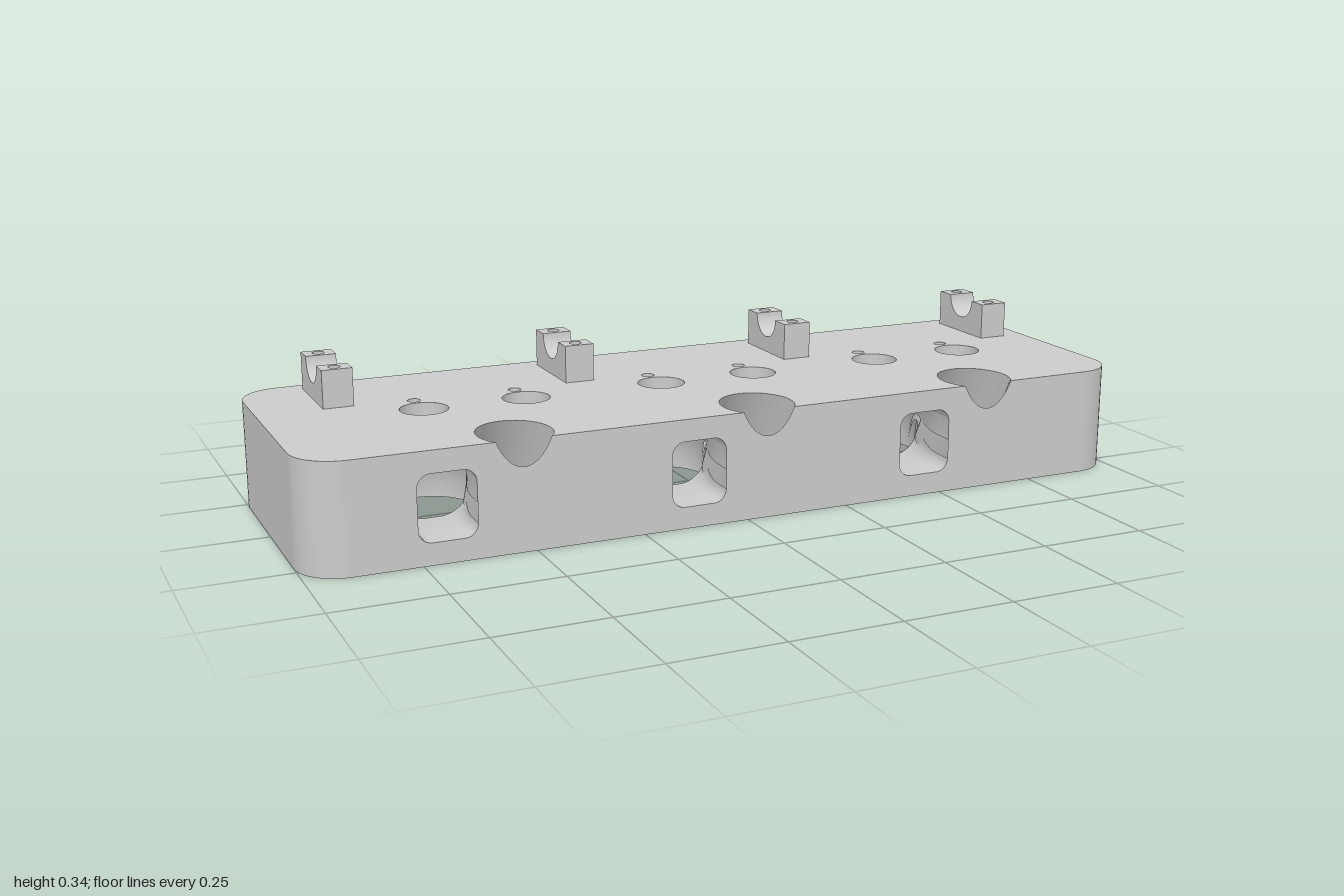
import * as THREE from 'three';
import { ParametricGeometry } from 'three/addons/geometries/ParametricGeometry.js';

const H = 0.25, D = 0.325, R = 0.1;            // body height, half depth, corner radius
const ROOF = 0.012;                            // chamber recess depth
const POCKET_Y = 0.21;                         // spring pocket floor
const chambers = [-0.525, 0.05, 0.625];
const pillars = [-0.815, -0.24, 0.335, 0.91];
const boltZ = [-0.114, -0.264];
const VALVE = 0.12, VALVE_R = 0.105, INTAKE = -0.17;
const PLUG = { r: 0.083, z: 0.263, s: Math.sin(0.489), c: Math.cos(0.489), depth: 0.215 };

const mat = new THREE.MeshStandardMaterial({ color: 0xcccccc, side: THREE.DoubleSide });
const V2 = (x, y) => new THREE.Vector2(x, y);

export function createModel() {
  const root = new THREE.Group();
  const group = (name) => {
    const g = new THREE.Group();
    g.name = name;
    root.add(g);
    return g;
  };
  const add = (parent, name, geo, x = 0, y = 0, z = 0) => {
    const m = new THREE.Mesh(geo, mat);
    m.name = name;
    m.position.set(x, y, z);
    parent.add(m);
    return m;
  };
  const circle = (x, y, r) => new THREE.Path().absarc(x, y, r, 0, Math.PI * 2);
  const flat = (shape, holes) => {
    shape.holes.push(...holes);
    return new THREE.ShapeGeometry(shape, 20);
  };
  // vertical open bore between two heights
  const bore = (parent, name, x, z, r, y0, y1) =>
    add(parent, name, new THREE.CylinderGeometry(r, r, y1 - y0, 28, 1, true), x, (y0 + y1) / 2, z);

  // Rounded rectangle section, with corners wide enough it becomes a circle
  const section = (a, w, h, r) => V2(
    Math.sign(Math.cos(a)) * (w - r) + r * Math.cos(a),
    Math.sign(Math.sin(a)) * (h - r) + r * Math.sin(a));
  const portHole = (x) => {
    const pts = [];
    for (let i = 0; i < 48; i++) pts.push(section(i / 48 * Math.PI * 2, 0.065, 0.075, 0.03).add(V2(x, 0.125)));
    return new THREE.Path(pts);
  };

  // Deck outline; y of the shape runs along dir * z, with optional plug cutouts in the front edge
  function deckShape(dir, cutouts) {
    const pts = [];
    const corner = (sx, sz, a0) => {
      for (let i = 0; i <= 10; i++) {
        const a = a0 + i / 10 * Math.PI / 2;
        pts.push(V2(sx * (1 - R) + R * Math.cos(a), sz * (D - R) + R * Math.sin(a)));
      }
    };
    corner(1, 1, 0);
    if (cutouts) {
      const a0 = Math.asin((D - PLUG.z) * PLUG.c / PLUG.r);
      for (const cx of [...chambers].reverse()) for (let i = 0; i <= 32; i++) {
        const a = a0 - i / 32 * (Math.PI + 2 * a0);
        pts.push(V2(cx + PLUG.r * Math.cos(a), PLUG.z + PLUG.r / PLUG.c * Math.sin(a)));
      }
    }
    corner(-1, 1, Math.PI / 2);
    corner(-1, -1, Math.PI);
    corner(1, -1, Math.PI * 1.5);
    return new THREE.Shape(pts.map((p) => V2(p.x, p.y * dir)));
  }

  // Outer block: deck, underside and walls
  const body = group('headBlock');
  const valves = chambers.flatMap((c) => [c - VALVE, c + VALVE]);
  const bolts = (dir) => pillars.flatMap((x) => boltZ.map((z) => circle(x, dir * z, 0.013)));
  add(body, 'topDeck', flat(deckShape(-1, true), [
    ...bolts(-1),
    ...valves.map((x) => circle(x, 0, 0.055)),
    ...valves.map((x) => circle(x, 0.08, 0.015)),
  ]).rotateX(-Math.PI / 2), 0, H, 0);
  add(body, 'underside', flat(deckShape(1, false), [
    ...bolts(1), ...chambers.map((x) => circle(x, 0, 0.25)),
  ]).rotateX(Math.PI / 2));

  const front = [V2(-1 + R, 0), V2(1 - R, 0), V2(1 - R, H)];
  const rise = (D - PLUG.z) * PLUG.c / PLUG.s;       // plug axis height above deck at the front wall
  const halfCut = PLUG.r * Math.sqrt(1 - (rise * PLUG.s / PLUG.r) ** 2);
  for (const cx of [...chambers].reverse()) for (let i = 0; i <= 20; i++) {
    const x = halfCut * (1 - i / 10);
    front.push(V2(cx + x, H + rise - PLUG.r / PLUG.s * Math.sqrt(1 - (x / PLUG.r) ** 2)));
  }
  front.push(V2(-1 + R, H));
  add(body, 'frontWall', flat(new THREE.Shape(front), chambers.map((c) => portHole(c + INTAKE))), 0, 0, D);
  const back = new THREE.Shape([V2(-1 + R, 0), V2(1 - R, 0), V2(1 - R, H), V2(-1 + R, H)]);
  add(body, 'backWall', flat(back, chambers.map((c) => portHole(-c - VALVE))).rotateY(Math.PI), 0, 0, -D);
  for (const s of [-1, 1]) {
    add(body, 'endWall', new THREE.PlaneGeometry(2 * (D - R), H).rotateY(s * Math.PI / 2), s, H / 2, 0);
    for (const t of [-1, 1]) {
      const start = s > 0 ? (t > 0 ? 0 : Math.PI / 2) : (t > 0 ? Math.PI * 1.5 : Math.PI);
      add(body, 'cornerWall', new THREE.CylinderGeometry(R, R, H, 10, 1, true, start, Math.PI / 2),
        s * (1 - R), H / 2, t * (D - R));
    }
  }

  // Port: straight run from the side wall, then a bend down into the valve seat
  function port(px, vx, side) {
    const bend = 0.125 - ROOF, run = D - bend, total = run + bend * Math.PI / 2;
    return new ParametricGeometry((u, v, out) => {
      const s = v * total, f = Math.max(0, (s - run) / bend);
      const k = THREE.MathUtils.smoothstep(v, 0.1, 0.95);
      const mix = (a, b) => a + (b - a) * k;
      const p = section(u * Math.PI * 2, mix(0.065, VALVE_R), mix(0.075, VALVE_R), mix(0.03, VALVE_R));
      const z = f > 0 ? bend - bend * Math.sin(f) : D - s;
      const y = ROOF + bend * Math.cos(f);
      out.set(mix(px, vx) + p.x, y + p.y * Math.cos(f), side * (z - p.y * Math.sin(f)));
    }, 48, 28);
  }

  // Inclined plug well, trimmed by the deck and the front wall
  const { r, s, c, depth } = PLUG;
  const wellY = H - depth * c, wellZ = PLUG.z - depth * s;
  const well = new ParametricGeometry((u, v, out) => {
    const a = u * Math.PI * 2, q = r * Math.sin(a);
    const y = wellY - q * s, z = wellZ + q * c;
    const t = v * Math.min((H - y) / c, (D - z) / s);
    out.set(r * Math.cos(a), y + t * c, z + t * s);
  }, 64, 4);
  const plugLen = (wellY - ROOF) / c;
  const tilt = Math.atan2(s, c);
  const plugZ = wellZ - plugLen * s;

  chambers.forEach((cx) => {
    // Combustion chamber
    const ch = group('combustionChamber');
    bore(ch, 'chamberRim', cx, 0, 0.25, 0, ROOF);
    const roof = new THREE.Shape().absarc(0, 0, 0.25, 0, Math.PI * 2);
    add(ch, 'chamberRoof', flat(roof, [circle(-VALVE, 0, VALVE_R), circle(VALVE, 0, VALVE_R), circle(0, plugZ, 0.02)])
      .rotateX(Math.PI / 2), cx, ROOF, 0);
    add(ch, 'intakePort', port(cx + INTAKE, cx - VALVE, 1));
    add(ch, 'exhaustPort', port(cx + VALVE, cx + VALVE, -1));

    // Plug well and threaded bore
    const pw = group('plugWell');
    add(pw, 'wellWall', well, cx);
    add(pw, 'wellSeat', new THREE.RingGeometry(0.018, r, 40).rotateX(-Math.PI / 2 + tilt), cx, wellY, wellZ);
    add(pw, 'plugBore', new THREE.CylinderGeometry(0.018, 0.018, plugLen, 20, 1, true).rotateX(tilt),
      cx, (wellY + ROOF) / 2, (wellZ + plugZ) / 2);
  });

  // Spring pockets, valve guides and oil drains
  valves.forEach((x) => {
    const vp = group('springPocket');
    bore(vp, 'pocketWall', x, 0, 0.055, POCKET_Y, H);
    add(vp, 'pocketFloor', new THREE.RingGeometry(0.014, 0.055, 28).rotateX(-Math.PI / 2), x, POCKET_Y, 0);
    bore(vp, 'valveGuide', x, 0, 0.014, 0.165, POCKET_Y);
    bore(vp, 'drainWall', x, -0.08, 0.015, 0.2, H);
    add(vp, 'drainFloor', new THREE.CircleGeometry(0.015, 20).rotateX(-Math.PI / 2), x, 0.2, -0.08);
  });

  // Camshaft bearing pillars with through bolts
  const W = 0.07, PH = 0.088, ZC = -0.188, N = 0.05;
  const saddle = new THREE.Shape([V2(N, 0), V2(N, PH)]);
  saddle.absarc(0, PH, N, 0, -Math.PI, true);
  saddle.lineTo(-N, 0);
  const saddleGeo = new THREE.ExtrudeGeometry(saddle, { depth: W, bevelEnabled: false, curveSegments: 28 })
    .translate(0, 0, -W / 2).rotateY(Math.PI / 2);
  pillars.forEach((x) => {
    const g = group('bearingPillar');
    add(g, 'bearingSaddle', saddleGeo, x, H, ZC);
    boltZ.forEach((z, i) => {
      const side = i ? -1 : 1, mid = ZC + side * 0.075;
      const block = new THREE.Shape([V2(-W / 2, -0.025), V2(W / 2, -0.025), V2(W / 2, 0.025), V2(-W / 2, 0.025)]);
      block.holes.push(circle(0, mid - z, 0.014));
      add(g, 'pillarBlock', new THREE.ExtrudeGeometry(block, { depth: PH, bevelEnabled: false, curveSegments: 20 })
        .rotateX(-Math.PI / 2), x, H, mid);
      bore(g, 'boltBore', x, z, 0.013, 0, H);
    });
  });
  return root;
}
